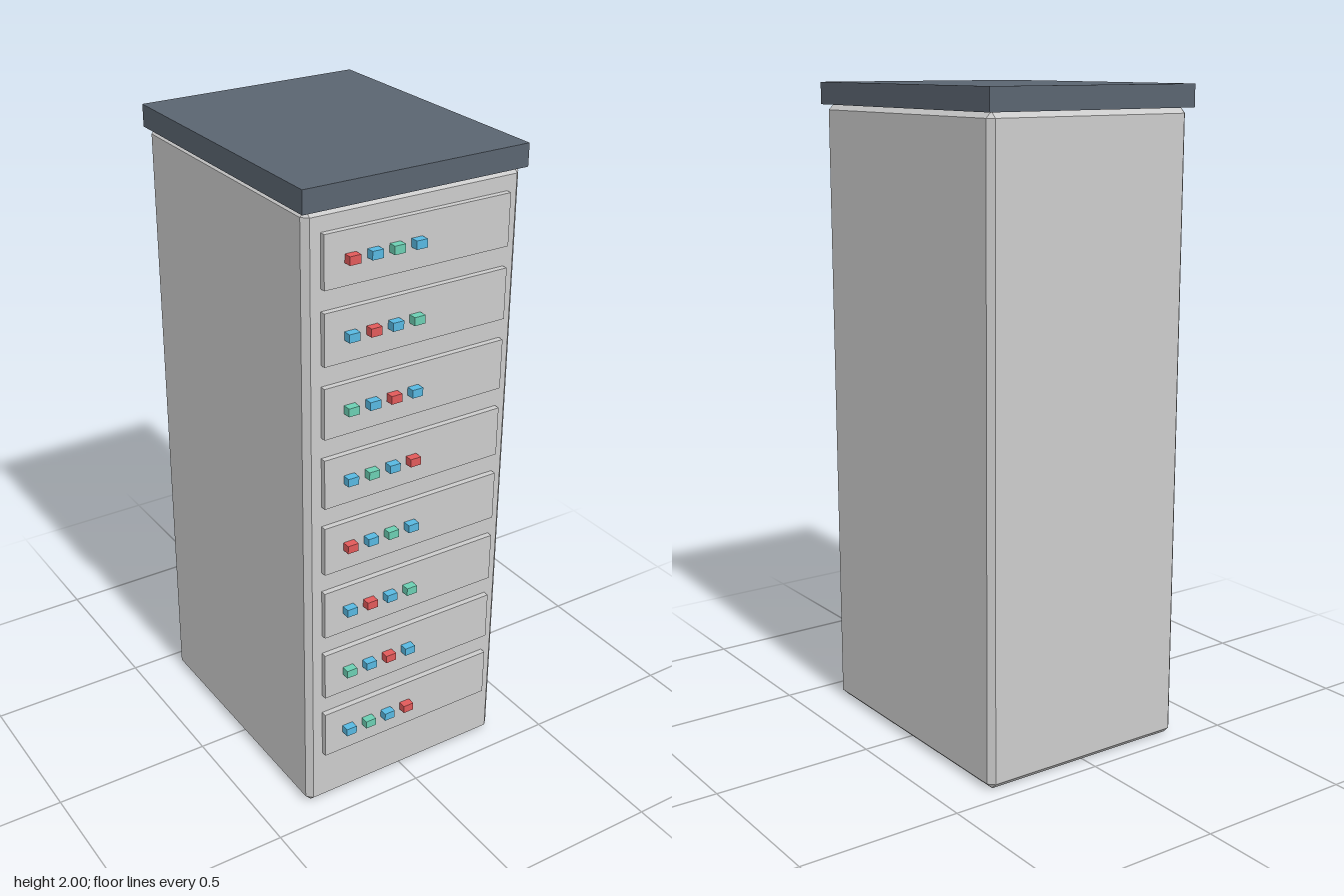
import * as THREE from 'three';
import { ConvexGeometry } from 'three/addons/geometries/ConvexGeometry.js';

const mat = (color) => new THREE.MeshStandardMaterial({ color, flatShading: true });
const grey = mat(0xcccccc);
const slate = mat(0x5a6470);
const red = mat(0xe05a5a);
const blue = mat(0x58b8e0);
const green = mat(0x6cceb2);

function addMesh(parent, name, geometry, material, x, y, z) {
  const mesh = new THREE.Mesh(geometry, material);
  mesh.name = name;
  mesh.position.set(x, y, z);
  parent.add(mesh);
  return mesh;
}

// Box whose edges are all cut by a single flat chamfer
function chamferBox(w, h, d, b) {
  const points = [];
  for (const sx of [-1, 1]) for (const sy of [-1, 1]) for (const sz of [-1, 1]) {
    for (let axis = 0; axis < 3; axis++) {
      const inset = [b, b, b];
      inset[axis] = 0;
      points.push(new THREE.Vector3(
        sx * (w / 2 - inset[0]), sy * (h / 2 - inset[1]), sz * (d / 2 - inset[2])));
    }
  }
  return new ConvexGeometry(points);
}

export function createModel() {
  const model = new THREE.Group();
  model.name = 'serverCabinet';

  // Cabinet body and overhanging lid
  addMesh(model, 'cabinetBody', chamferBox(0.7, 1.935, 0.872, 0.018), grey, 0, 0.9675, -0.016);
  addMesh(model, 'topCap', new THREE.BoxGeometry(0.72, 0.067, 0.895), slate, 0, 1.9665, -0.0165);

  // Eight front units, each with four lights whose colours shift by one per row
  const panelGeometry = new THREE.BoxGeometry(0.6, 0.155, 0.03);
  const lightGeometry = new THREE.BoxGeometry(0.035, 0.025, 0.026);
  const lightColors = [red, blue, green, blue];
  for (let row = 0; row < 8; row++) {
    const unit = new THREE.Group();
    unit.name = 'serverUnit' + (row + 1);
    unit.position.y = 1.795 - row * 0.2193;
    addMesh(unit, 'frontPanel', panelGeometry, grey, 0, 0, 0.423);
    for (let i = 0; i < 4; i++) {
      const material = lightColors[(i - row + 8) % 4];
      addMesh(unit, 'statusLight' + (i + 1), lightGeometry, material, -0.22 + i * 0.07, 0, 0.45);
    }
    model.add(unit);
  }
  return model;
}
